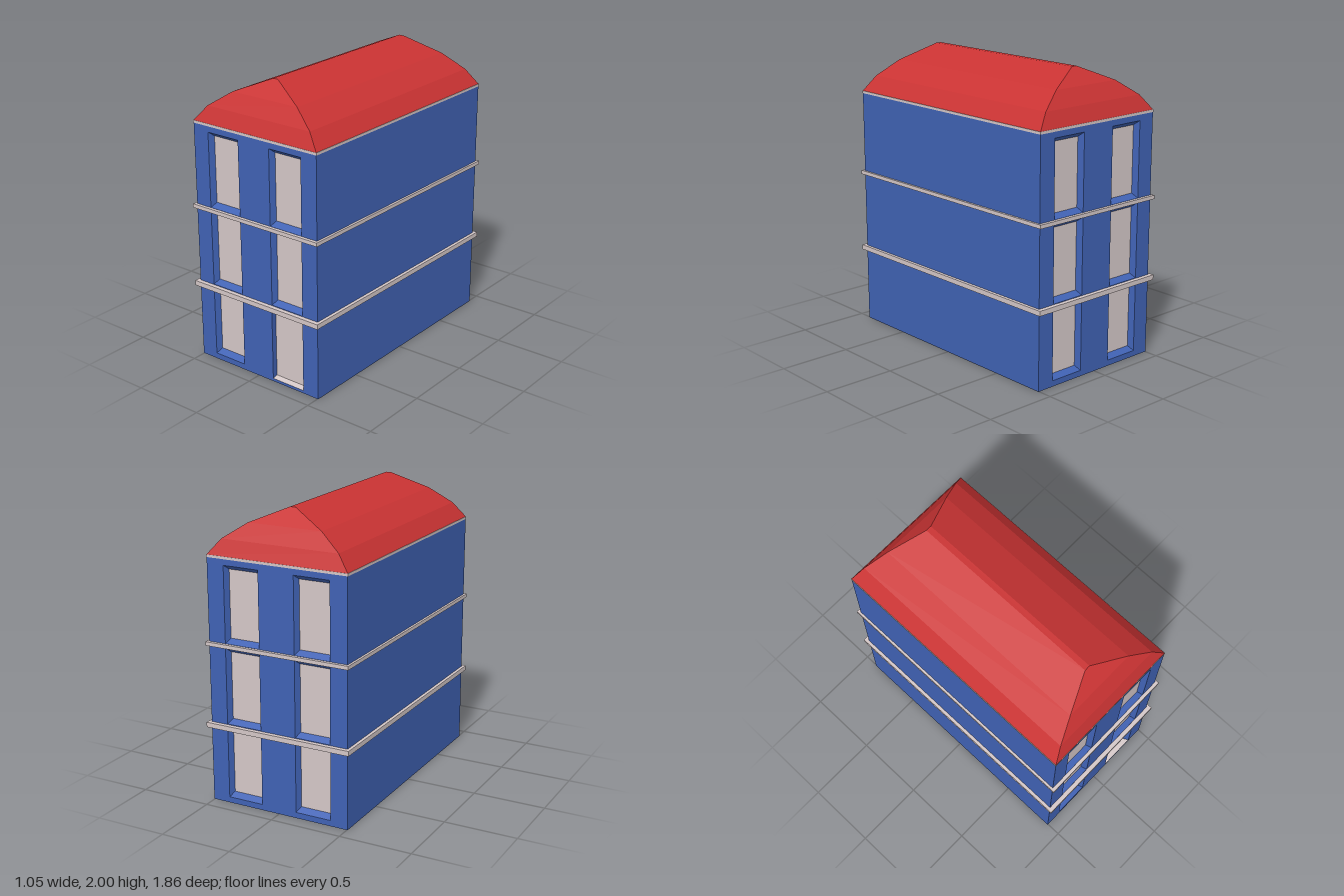
import * as THREE from 'three';

const W = 0.505, D = 0.9, WALL_TOP = 1.67, RECESS = 0.038;

// Flat-shaded geometry from a list of four-cornered faces
function quads(list) {
  const pos = [];
  for (const [a, b, c, d] of list) pos.push(...a, ...b, ...c, ...a, ...c, ...d);
  const g = new THREE.BufferGeometry();
  g.setAttribute('position', new THREE.Float32BufferAttribute(pos, 3));
  g.computeVertexNormals();
  return g;
}

// Horizontal rectangle, counter-clockwise from above, starting front left corner
const ring = (x, y, z) => [[-x, y, z], [x, y, z], [x, y, -z], [-x, y, -z]];
const bridge = (a, b, i) => [a[i], a[(i + 1) % 4], b[(i + 1) % 4], b[i]];
// Upright rectangle, counter-clockwise from the front, starting bottom left
const rect = (x0, x1, y0, y1, z) => [[x0, y0, z], [x1, y0, z], [x1, y1, z], [x0, y1, z]];

export function createModel() {
  const model = new THREE.Group();
  model.name = 'townhouse';
  const mat = (name, color) => {
    const m = new THREE.MeshStandardMaterial({ color });
    m.name = name;
    return m;
  };
  const blue = mat('blue wall', 0x4062b4);
  const red = mat('red roof', 0xca3333);
  const stone = mat('pale stone', 0xd4c7c7);
  const add = (parent, name, geometry, material) => {
    const mesh = new THREE.Mesh(geometry, material);
    mesh.name = name;
    parent.add(mesh);
    return mesh;
  };

  // Plain side walls and underside
  const base = ring(W, 0, D), top = ring(W, WALL_TOP, D);
  add(model, 'sideWalls', quads([bridge(base, top, 1), bridge(base, top, 3)]), blue);
  add(model, 'underside', quads([[...base].reverse()]), blue);

  // End wall with two columns of three splayed, recessed windows
  function endWall(name, hasDoor) {
    const wall = new THREE.Group();
    wall.name = name;
    const shape = new THREE.Shape();
    shape.moveTo(-W, 0).lineTo(W, 0).lineTo(W, WALL_TOP).lineTo(-W, WALL_TOP).closePath();
    for (const [row, [y0, y1]] of [[0.04, 0.52], [0.56, 1.08], [1.112, 1.63]].entries()) {
      for (const cx of [-0.255, 0.255]) {
        const door = hasDoor && row === 0 && cx > 0;
        let outer = rect(cx - 0.127, cx + 0.127, y0, y1, D);
        let inner = rect(cx - 0.107, cx + 0.107, y0 + 0.03, y1 - 0.03, D - RECESS);
        if (door) {
          outer = rect(0.125, 0.382, 0.02, 0.525, D);
          inner = rect(0.125, 0.378, 0.03, 0.525, D - RECESS);
          inner[1][0] = 0.36;
        }
        shape.holes.push(new THREE.Path(outer.map(([x, y]) => new THREE.Vector2(x, y))));
        const label = door ? 'door' : 'window';
        const frame = [0, 1, 2, 3].map((i) => bridge(outer, inner, i));
        if (door) add(wall, 'doorSill', quads([frame.shift()]), stone);
        add(wall, label + 'Reveal', quads(frame), blue);
        add(wall, label + 'Pane', quads([inner]), stone);
      }
    }
    add(wall, 'wallFace', new THREE.ShapeGeometry(shape).translate(0, 0, D), blue);
    model.add(wall);
    return wall;
  }
  endWall('frontWall', true);
  endWall('backWall', false).rotation.y = Math.PI;

  // Stone bands around the floors and the cornice under the roof
  for (const [name, x, z, y0, y1] of [
    ['lowerBand', 0.527, 0.93, 0.522, 0.556],
    ['upperBand', 0.521, 0.923, 1.085, 1.111],
    ['cornice', 0.508, 0.902, WALL_TOP, 1.687],
  ]) {
    add(model, name, new THREE.BoxGeometry(2 * x, y1 - y0, 2 * z), stone).position.y = (y0 + y1) / 2;
  }

  // Curved hipped roof lofted through shrinking rectangles
  const rings = [[W, 1.687, D], [0.42, 1.79, 0.855], [0.265, 1.895, 0.785], [0.02, 2, 0.675]]
    .map((r) => ring(...r));
  const faces = [rings[3]];
  for (let k = 0; k < 3; k++) {
    for (let i = 0; i < 4; i++) faces.push(bridge(rings[k], rings[k + 1], i));
  }
  add(model, 'roof', quads(faces), red);

  return model;
}
